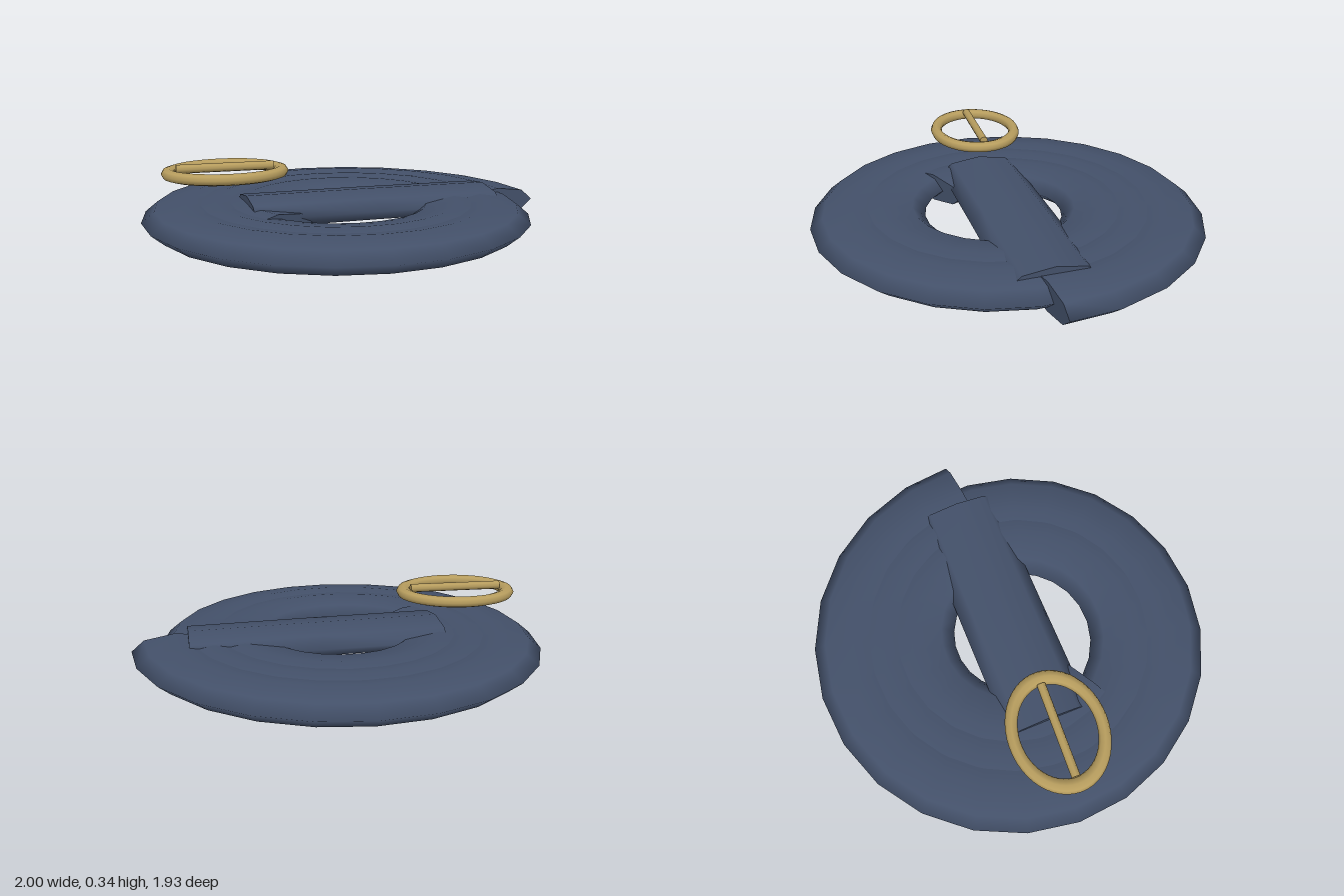
import * as THREE from 'three';

const SIDES = 8;
const HALF_WIDTH = 0.21, HALF_HEIGHT = 0.072;

// Sweeps a flattened octagonal section along a list of points, with closed ends
function sweepStrap(path) {
  const pos = [], index = [];
  const ring = (i) => {
    const a = path[Math.max(i - 1, 0)], b = path[Math.min(i + 1, path.length - 1)];
    const side = new THREE.Vector3(a.z - b.z, 0, b.x - a.x).normalize();
    for (let j = 0; j < SIDES; j++) {
      const t = (j / SIDES) * Math.PI * 2;
      const p = path[i].clone().addScaledVector(side, Math.cos(t) * HALF_WIDTH);
      pos.push(p.x, p.y + Math.sin(t) * HALF_HEIGHT, p.z);
    }
  };
  path.forEach((_, i) => ring(i));
  for (let i = 0; i < path.length - 1; i++) {
    for (let j = 0; j < SIDES; j++) {
      const k = (j + 1) % SIDES;
      const a = i * SIDES + j, b = i * SIDES + k;
      index.push(a, a + SIDES, b, b, a + SIDES, b + SIDES);
    }
  }
  // End caps have their own vertices so that their edges stay sharp
  for (const end of [0, path.length - 1]) {
    const base = pos.length / 3;
    ring(end);
    for (let j = 1; j < SIDES - 1; j++) {
      if (end === 0) index.push(base, base + j, base + j + 1);
      else index.push(base, base + j + 1, base + j);
    }
  }
  const geo = new THREE.BufferGeometry();
  geo.setAttribute('position', new THREE.Float32BufferAttribute(pos, 3));
  geo.setIndex(index);
  geo.computeVertexNormals();
  return geo;
}

export function createModel() {
  const model = new THREE.Group();
  model.name = 'coiledBelt';
  const leather = new THREE.MeshStandardMaterial({ color: 0x435069 });
  leather.name = 'navy leather';
  const brass = new THREE.MeshStandardMaterial({ color: 0xb79d5e });
  brass.name = 'brass';

  const add = (name, geo, mat, parent = model) => {
    const mesh = new THREE.Mesh(geo, mat);
    mesh.name = name;
    parent.add(mesh);
    return mesh;
  };

  // Coil: a flat spiral with overlapping turns, from the outer end inwards
  const turns = 2.6, steps = 63, pitch = 0.14;
  const spiral = [];
  for (let i = 0; i <= steps; i++) {
    const turn = (i / steps) * turns, a = turn * Math.PI * 2;
    const r = 0.825 - pitch * turn;
    spiral.push(new THREE.Vector3(-0.035 + r * Math.cos(a), 0.073, 0.03 - r * Math.sin(a)));
  }
  add('coil', sweepStrap(spiral), leather);

  // Straight tail lying across the coil
  const tail = [
    new THREE.Vector3(-0.51, 0.109, 0.033),
    new THREE.Vector3(0.1, 0.106, 0.003),
    new THREE.Vector3(0.725, 0.099, -0.025),
  ];
  add('tail', sweepStrap(tail), leather);

  // Buckle: oval frame with a prong along its length
  const buckle = new THREE.Group();
  buckle.name = 'buckle';
  buckle.position.set(-0.605, 0.303, 0.032);
  model.add(buckle);

  const frame = new THREE.TorusGeometry(0.26, 0.036, 8, 48);
  frame.rotateX(Math.PI / 2);
  frame.scale(1, 0.75, 0.8);
  add('buckleFrame', frame, brass, buckle);

  const prong = new THREE.CylinderGeometry(0.021, 0.021, 0.455, 8);
  prong.rotateZ(Math.PI / 2);
  add('bucklePin', prong, brass, buckle).position.y = 0.021;

  return model;
}
